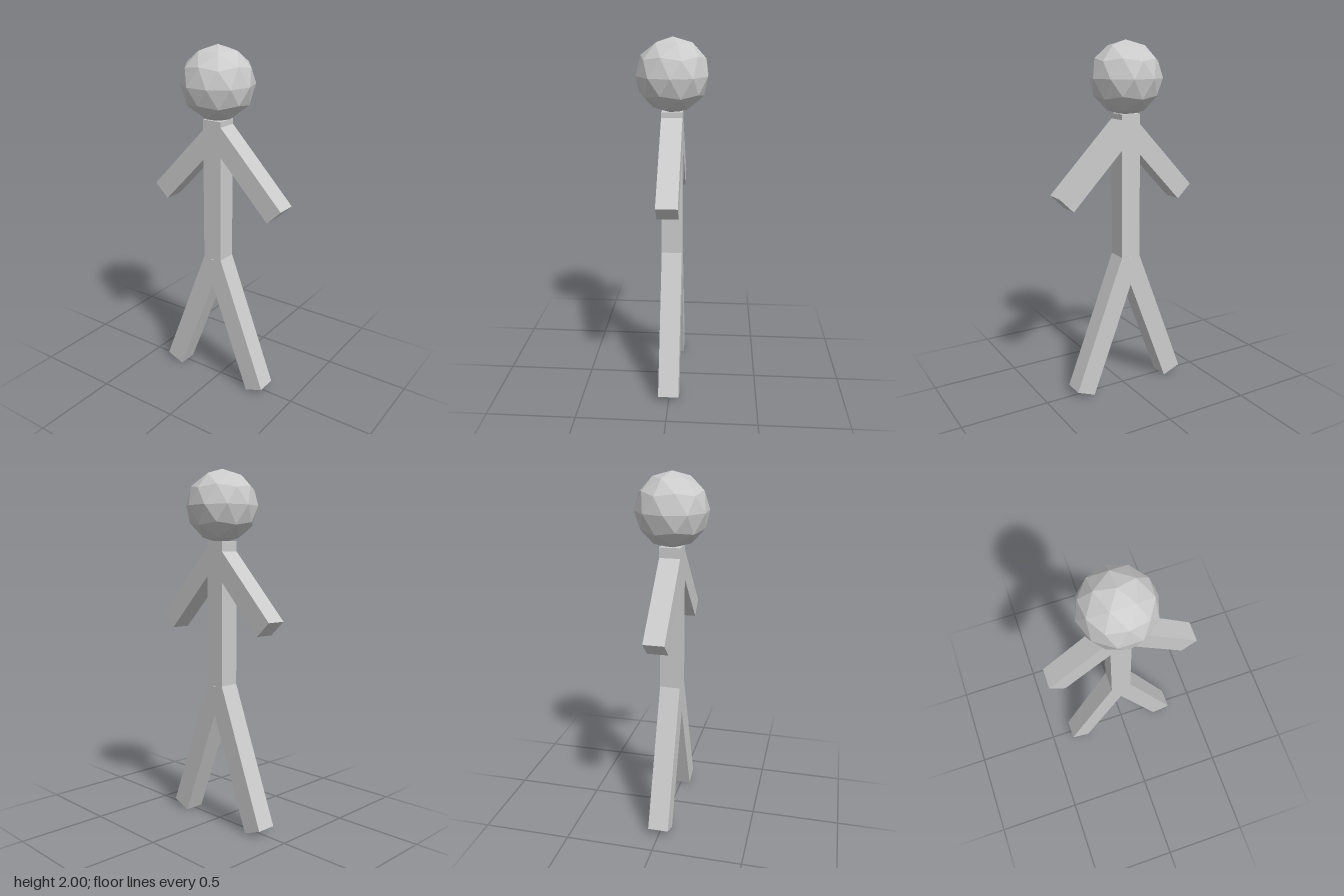
import * as THREE from 'three';

const WIDTH = 0.115; // square section shared by torso and limbs
const MID_Z = -0.019; // plane of the torso and head

export function createModel() {
  const group = new THREE.Group();
  const material = new THREE.MeshStandardMaterial({ color: 0xcccccc, flatShading: true });

  const add = (name, geometry) => {
    const mesh = new THREE.Mesh(geometry, material);
    mesh.name = name;
    group.add(mesh);
    return mesh;
  };

  // Square bar between two [y, z] points in the x = 0 plane
  const bar = (name, [y0, z0], [y1, z1]) => {
    const dy = y1 - y0, dz = z1 - z0;
    const mesh = add(name, new THREE.BoxGeometry(WIDTH, Math.hypot(dy, dz), WIDTH));
    mesh.position.set(0, (y0 + y1) / 2, (z0 + z1) / 2);
    mesh.rotation.x = Math.atan2(dz, dy);
  };

  // Faceted ball head, turned so one corner points straight up
  const ball = new THREE.IcosahedronGeometry(0.201, 1);
  ball.rotateZ(-Math.atan(2 / (1 + Math.sqrt(5))));
  add('head', ball).position.set(0, 1.799, MID_Z);

  bar('torso', [0.8, MID_Z], [1.61, MID_Z]);

  // Arms spread forward and back, the rear one set slightly lower
  bar('frontArm', [1.147, 0.379], [1.557, MID_Z]);
  bar('backArm', [1.147, -0.382], [1.53, MID_Z]);

  // Legs mirrored about the torso plane
  for (const [name, s] of [['frontLeg', 1], ['backLeg', -1]]) {
    bar(name, [0.021, MID_Z + s * 0.297], [0.795, MID_Z]);
  }

  return group;
}
